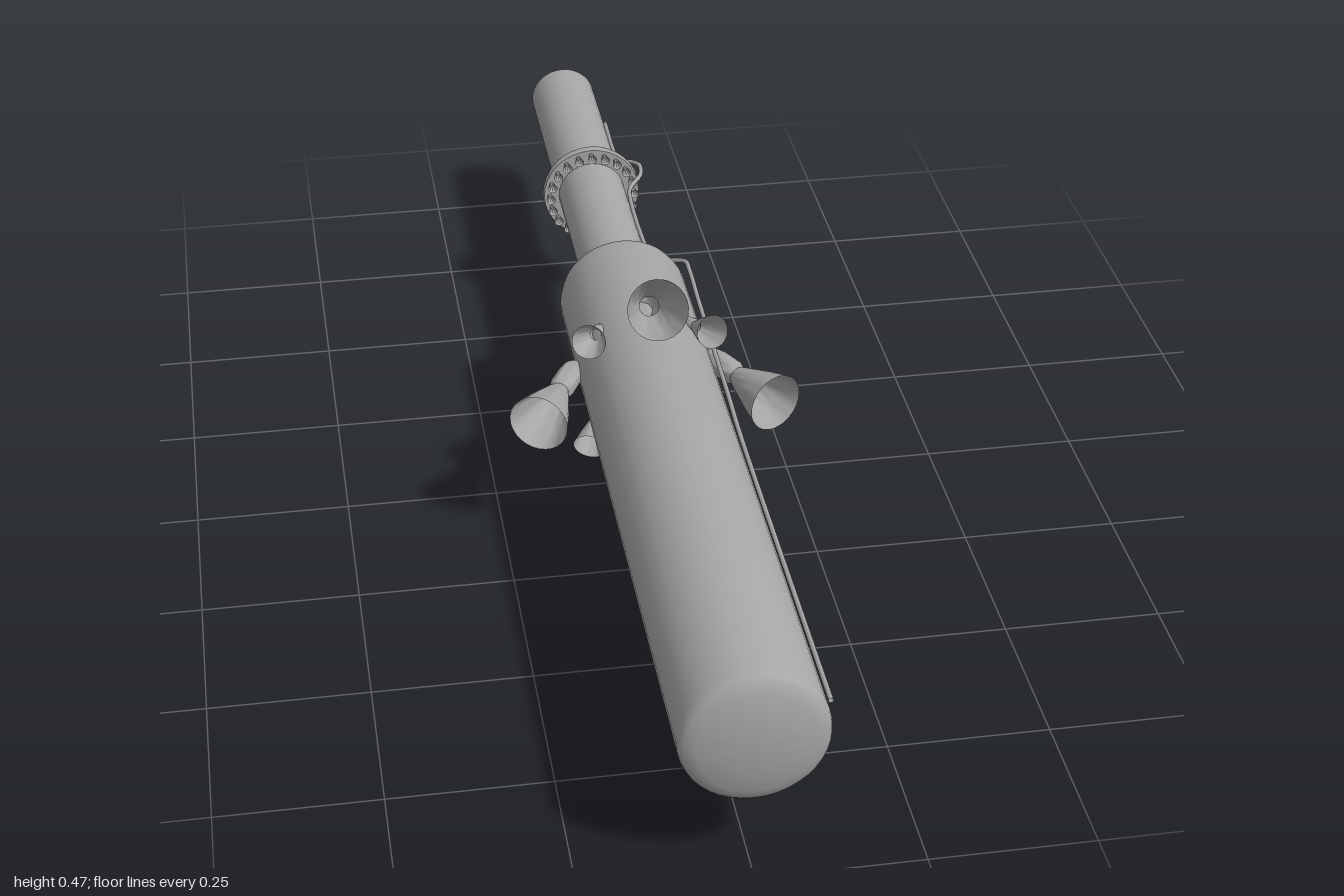
import * as THREE from 'three';
import { toCreasedNormals } from 'three/addons/utils/BufferGeometryUtils.js';

const AXIS_Y = 0.24;

// Turned solid along z; points are [radius, z] from back to front
function turned(points, segments, crease = 0.6) {
  const profile = points.map(([r, z]) => new THREE.Vector2(r, z));
  const geometry = new THREE.LatheGeometry(profile, segments);
  geometry.rotateX(Math.PI / 2);
  return toCreasedNormals(geometry, crease);
}

export function createModel() {
  const model = new THREE.Group();
  model.name = 'spacecraft';
  const hull = new THREE.Group();
  hull.name = 'hull';
  hull.position.y = AXIS_Y;
  model.add(hull);

  const grey = new THREE.MeshStandardMaterial({ color: 0xa6a6a6, side: THREE.DoubleSide });
  grey.name = 'hull grey';

  function add(parent, name, geometry) {
    const mesh = new THREE.Mesh(geometry, grey);
    mesh.name = name;
    parent.add(mesh);
    return mesh;
  }

  // Wide main body with rounded shoulders and a shallow domed nose
  add(hull, 'mainBody', turned([
    [0, -0.235], [0.088, -0.235], [0.098, -0.231], [0.106, -0.222], [0.109, -0.208],
    [0.109, 0.972], [0.107, 0.979], [0.101, 0.985], [0.085, 0.991], [0.05, 0.998], [0, 1],
  ], 40));

  // Slim tail tube with a shallow conical end
  add(hull, 'tailTube', turned([
    [0, -1], [0.057, -0.988], [0.06, -0.982], [0.06, -0.22],
  ], 32, 0.4));

  // Tapered collar around the tail
  add(hull, 'tailCollar', turned([
    [0.059, -0.638], [0.068, -0.634], [0.087, -0.606], [0.089, -0.598], [0.087, -0.59], [0.059, -0.59],
  ], 32));

  // Ring of small thrusters on the collar
  const thruster = turned([[0.004, -0.592], [0.005, -0.584], [0.0085, -0.572]], 10);
  const count = 20;
  for (let i = 0; i < count; i++) {
    const a = (i / count) * Math.PI * 2;
    add(hull, 'collarThruster', thruster).position.set(Math.cos(a) * 0.077, Math.sin(a) * 0.077, 0);
  }

  // Engines: rounded chamber, narrow throat and open bell, canted outward
  const chamber = turned([
    [0, -0.088], [0.011, -0.083], [0.018, -0.068], [0.021, -0.048], [0.021, -0.014], [0.016, 0],
  ], 24, 0.8);
  const bell = turned([
    [0.016, 0], [0.021, 0.012], [0.029, 0.035], [0.038, 0.062], [0.049, 0.1],
  ], 28);
  function addEngine(name, angle, radius, z, scale) {
    const arm = new THREE.Group();
    arm.name = name;
    arm.rotation.z = angle;
    const engine = new THREE.Group();
    engine.name = name + 'Nozzle';
    engine.position.set(radius, 0, z);
    engine.rotation.y = THREE.MathUtils.degToRad(27);
    engine.scale.setScalar(scale);
    add(engine, 'chamber', chamber);
    add(engine, 'bell', bell);
    arm.add(engine);
    hull.add(arm);
  }
  for (let i = 0; i < 4; i++) {
    addEngine('largeEngine', i * Math.PI / 2, 0.148, 0.068, 1);
    addEngine('smallEngine', (i + 0.5) * Math.PI / 2, 0.117, 0.036, 0.57);
  }

  // Cable along the left side, stepping down to the tail and over the collar
  const cablePath = new THREE.CatmullRomCurve3([
    [0.106, 0.045, 0.97], [0.106, 0.045, 0.3], [0.108, 0.046, 0.2], [0.112, 0.048, -0.1],
    [0.114, 0.049, -0.2], [0.112, 0.048, -0.235], [0.094, 0.04, -0.255], [0.066, 0.031, -0.28],
    [0.06, 0.029, -0.31], [0.06, 0.029, -0.52], [0.066, 0.031, -0.545], [0.087, 0.04, -0.57],
    [0.091, 0.043, -0.6], [0.083, 0.038, -0.625], [0.064, 0.03, -0.65], [0.058, 0.027, -0.68],
    [0.058, 0.025, -0.81],
  ].map((p) => new THREE.Vector3(...p)), false, 'centripetal');
  add(hull, 'cable', new THREE.TubeGeometry(cablePath, 240, 0.004, 8));

  return model;
}
